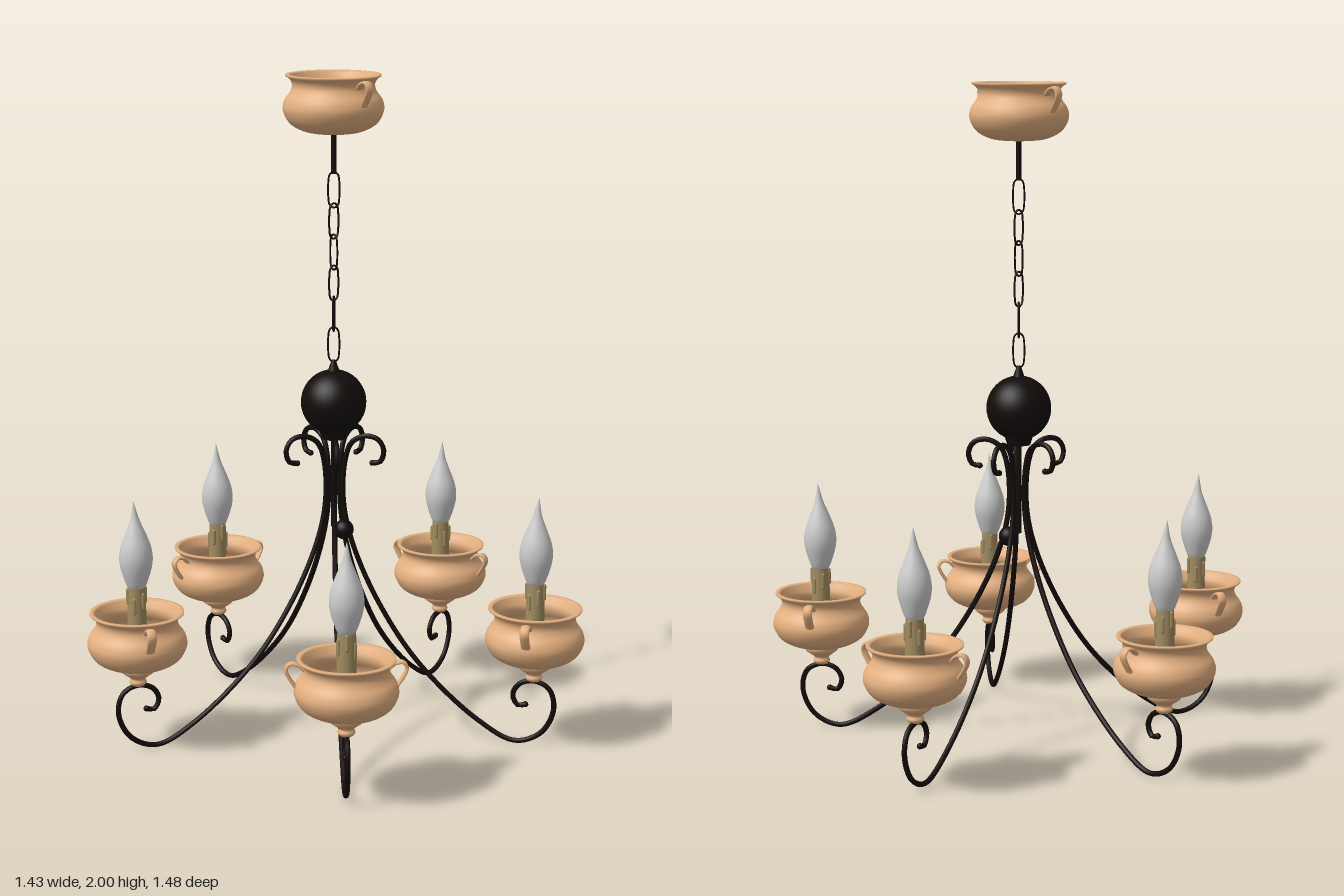
import * as THREE from 'three';

const clay = new THREE.MeshStandardMaterial({ color: 0xe4b080, side: THREE.DoubleSide });
const iron = new THREE.MeshStandardMaterial({ color: 0x120b09 });
const wax = new THREE.MeshStandardMaterial({ color: 0xa08c60 });
const glass = new THREE.MeshStandardMaterial({ color: 0xcccccc });

const v2 = (list) => list.map(([x, y]) => new THREE.Vector2(x, y));
const v3 = (list) => list.map(([x, y, z = 0]) => new THREE.Vector3(x, y, z));

function add(parent, name, geometry, material, x = 0, y = 0, z = 0) {
  const mesh = new THREE.Mesh(geometry, material);
  mesh.name = name;
  mesh.position.set(x, y, z);
  parent.add(mesh);
  return mesh;
}

// Smooth profile through a few points, turned about the y axis
function turned(points, steps = 24, sides = 40) {
  return new THREE.LatheGeometry(new THREE.SplineCurve(v2(points)).getPoints(steps), sides);
}

const bodyGeo = turned([[0, 0], [0.055, 0.001], [0.095, 0.01], [0.13, 0.032], [0.148, 0.068],
  [0.143, 0.098], [0.128, 0.12], [0.121, 0.138], [0.125, 0.154], [0.137, 0.167]], 32);
const rimGeo = new THREE.LatheGeometry(v2([[0.136, 0.164], [0.14, 0.167], [0.14, 0.172],
  [0.128, 0.172], [0.126, 0.166]]), 40);
const insideGeo = turned([[0.126, 0.168], [0.118, 0.153], [0.113, 0.138], [0.117, 0.12],
  [0.13, 0.098], [0.134, 0.07], [0.122, 0.042], [0.1, 0.028]], 20);
const floorGeo = new THREE.CircleGeometry(0.102, 40).rotateX(-Math.PI / 2);

// Flat strap handle, bowed outward along +z
const handleGeo = new THREE.TubeGeometry(new THREE.CatmullRomCurve3(v3([[0, 0.138, 0.118],
  [0, 0.155, 0.138], [0, 0.157, 0.16], [0, 0.14, 0.17], [0, 0.115, 0.16],
  [0, 0.094, 0.146], [0, 0.084, 0.14]])), 24, 0.0055, 8).scale(2.6, 1, 1);

function makePot(name) {
  const pot = new THREE.Group();
  pot.name = name;
  add(pot, 'potBody', bodyGeo, clay);
  add(pot, 'potRim', rimGeo, clay);
  add(pot, 'potInside', insideGeo, clay);
  add(pot, 'potFloor', floorGeo, clay, 0, 0.03, 0);
  for (const turn of [0, Math.PI]) add(pot, 'potHandle', handleGeo, clay).rotation.y = turn;
  return pot;
}

// Arm: top curl, long sweep outward, closing curl under the pot
const armGeo = new THREE.TubeGeometry(new THREE.CatmullRomCurve3(v3([[0.118, 0.845], [0.142, 0.85],
  [0.153, 0.885], [0.135, 0.918], [0.095, 0.926], [0.055, 0.905], [0.034, 0.85], [0.029, 0.72],
  [0.058, 0.59], [0.14, 0.41], [0.265, 0.23], [0.45, 0.065], [0.565, 0.01], [0.645, 0.043],
  [0.682, 0.12], [0.667, 0.182], [0.62, 0.204], [0.575, 0.19], [0.557, 0.155],
  [0.572, 0.124], [0.596, 0.128]])), 140, 0.008, 8);
const tipGeo = new THREE.SphereGeometry(0.009, 10, 8);

const socketGeo = turned([[0, 0.202], [0.016, 0.204], [0.026, 0.215], [0.022, 0.227],
  [0.034, 0.237], [0.05, 0.25], [0.053, 0.268]], 18, 24);
const candleGeo = new THREE.CylinderGeometry(0.026, 0.031, 0.22, 20);
const dripGeo = new THREE.CapsuleGeometry(0.006, 0.04, 4, 8);

// Flame bulb with its tip leaning slightly
const bulbGeo = turned([[0, 0.495], [0.022, 0.505], [0.036, 0.535], [0.049, 0.585], [0.046, 0.63],
  [0.03, 0.675], [0.014, 0.715], [0.006, 0.748], [0, 0.775]], 30, 28);
const bp = bulbGeo.attributes.position;
for (let i = 0; i < bp.count; i++) {
  const t = Math.max(0, (bp.getY(i) - 0.65) / 0.125);
  bp.setX(i, bp.getX(i) + 0.006 * t * t);
}

function makeArm(angle, reach) {
  const arm = new THREE.Group();
  arm.name = 'lampArm';
  arm.rotation.y = -angle;
  const shift = reach - 0.62;
  add(arm, 'scrollArm', armGeo, iron, shift);
  add(arm, 'curlTip', tipGeo, iron, 0.118 + shift, 0.845);
  add(arm, 'curlTip', tipGeo, iron, 0.596 + shift, 0.128);

  const lamp = new THREE.Group();
  lamp.name = 'lamp';
  lamp.position.x = reach;
  arm.add(lamp);
  add(lamp, 'potSocket', socketGeo, clay);
  const pot = makePot('lampPot');
  pot.position.y = 0.262;
  lamp.add(pot);
  add(lamp, 'candle', candleGeo, wax, 0, 0.4, 0);
  for (let i = 0; i < 6; i++) {
    const a = i * Math.PI / 3;
    add(lamp, 'waxDrip', dripGeo, wax, 0.026 * Math.cos(a), 0.484 - 0.014 * (i % 3), 0.026 * Math.sin(a));
  }
  add(lamp, 'flameBulb', bulbGeo, glass);
  return arm;
}

// Long oval chain link
const linkGeo = new THREE.TubeGeometry(new THREE.CatmullRomCurve3(v3([[0, 0.053], [0.012, 0.045],
  [0.0165, 0.02], [0.0165, -0.02], [0.012, -0.045], [0, -0.053], [-0.012, -0.045],
  [-0.0165, -0.02], [-0.0165, 0.02], [-0.012, 0.045]]), true), 40, 0.003, 6, true);

export function createModel() {
  const model = new THREE.Group();
  model.name = 'chandelier';
  const core = new THREE.Group();
  core.name = 'chandelierBody';
  core.position.set(0.048, 0, 0.002);
  model.add(core);

  // Ceiling pot and hanging rod
  const canopy = makePot('ceilingPot');
  canopy.position.set(-0.002, 1.828, 0);
  canopy.rotation.y = Math.PI / 2;
  core.add(canopy);
  add(core, 'hangingRod', new THREE.CylinderGeometry(0.008, 0.008, 0.12, 12), iron, 0, 1.77, 0);

  // Chain, each link turned against its neighbour
  const turns = [45, -45, 90, 0, 90, 45];
  turns.forEach((deg, i) => {
    add(core, 'chainLink', linkGeo, iron, 0, 1.2 + i * 0.0925, 0).rotation.y = deg * Math.PI / 180;
  });

  // Hub ball with neck, centre stem and lower ball
  add(core, 'hubBall', new THREE.SphereGeometry(0.098, 32, 24), iron, 0, 1.025, 0);
  add(core, 'hubNeck', new THREE.CylinderGeometry(0.006, 0.02, 0.04, 16), iron, 0, 1.133, 0);
  add(core, 'hubCollar', new THREE.CylinderGeometry(0.045, 0.035, 0.03, 20), iron, 0, 0.928, 0);
  add(core, 'centreStem', new THREE.CylinderGeometry(0.008, 0.008, 0.3, 12), iron, 0, 0.79, 0);
  add(core, 'lowerBall', new THREE.SphereGeometry(0.03, 20, 14), iron, 0.02, 0.63, -0.024);

  // Five arms: angle in degrees from +x toward +z, and reach
  const arms = [[180, 0.617], [251, 0.626], [322.4, 0.622], [34, 0.627], [108, 0.617]];
  for (const [deg, reach] of arms) core.add(makeArm(deg * Math.PI / 180, reach));
  return model;
}
